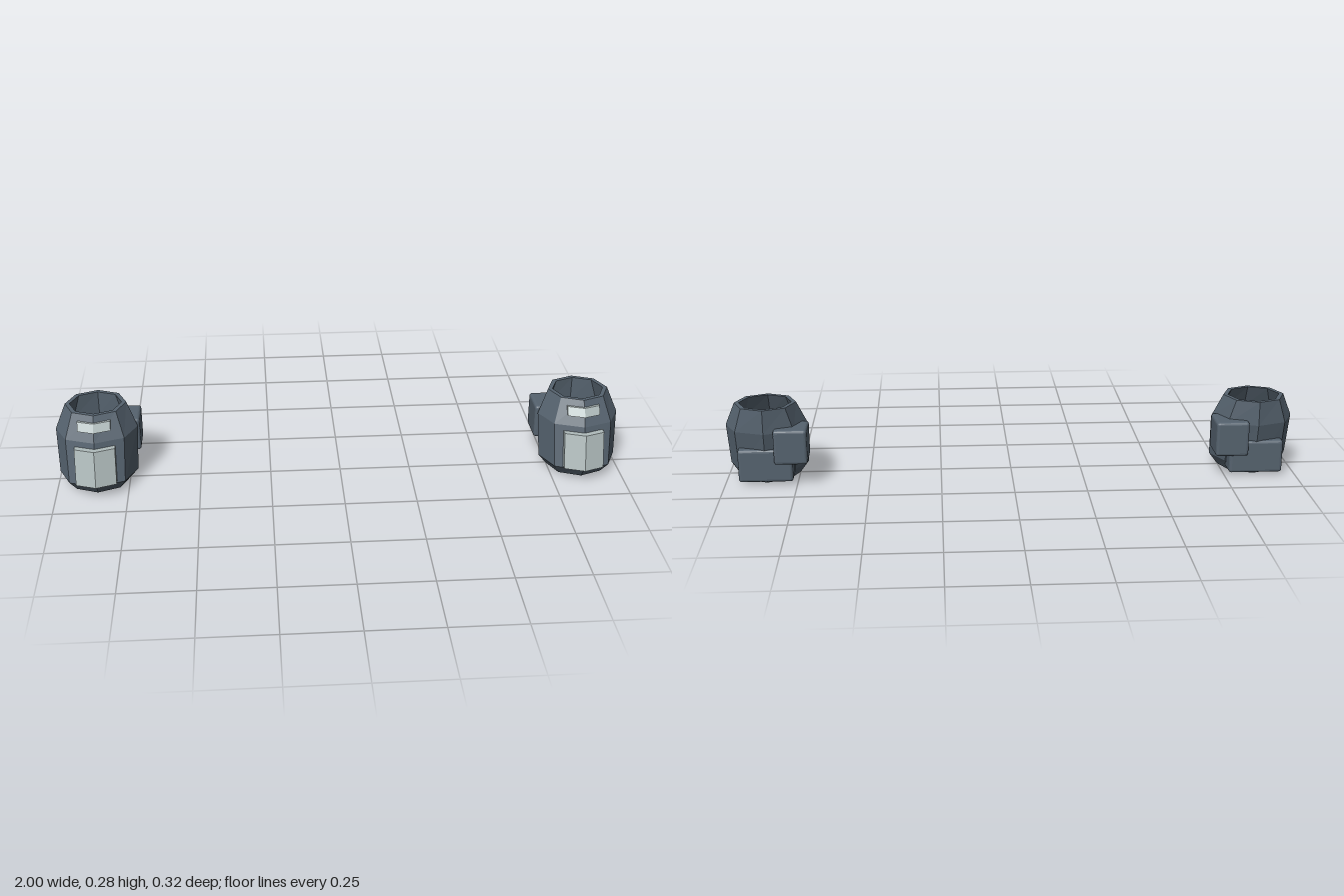
import * as THREE from 'three';
import { RoundedBoxGeometry } from 'three/addons/geometries/RoundedBoxGeometry.js';

const SIDES = 8;
const POD_X = 0.857;

const shellMat = new THREE.MeshStandardMaterial({ color: 0x56636f, flatShading: true });
const panelMat = new THREE.MeshStandardMaterial({ color: 0xb0bcbc, flatShading: true });

function mesh(name, geometry, material) {
  const m = new THREE.Mesh(geometry, material);
  m.name = name;
  return m;
}

// Joins octagonal rings [y, centreZ, radiusX, radiusZ] into one faceted skin
function loft(rings) {
  const point = ([y, cz, rx, rz], j) => {
    const a = (j / SIDES) * Math.PI * 2;
    return [rx * Math.sin(a), y, cz + rz * Math.cos(a)];
  };
  const pos = [];
  for (let i = 0; i < rings.length - 1; i++) {
    const lo = rings[i], hi = rings[i + 1];
    for (let j = 0; j < SIDES; j++) {
      const a = point(lo, j), b = point(lo, j + 1), c = point(hi, j + 1), d = point(hi, j);
      if (lo[2] > 0) pos.push(...a, ...b, ...c);
      if (hi[2] > 0) pos.push(...a, ...c, ...d);
      if (lo[2] === 0) pos.push(...b.map((v, k) => (k === 1 ? lo[0] : a[k])).map((v, k) => v));
      if (lo[2] === 0) pos.splice(-3, 3);
    }
  }
  const g = new THREE.BufferGeometry();
  g.setAttribute('position', new THREE.Float32BufferAttribute(pos, 3));
  g.computeVertexNormals();
  return g;
}

// V-shaped slab on the front ridge, leaning back as it rises
function chevron(halfWidth, drop, thick, y0, y1, z0, z1) {
  const s = new THREE.Shape();
  s.moveTo(0, 0);
  s.lineTo(halfWidth, drop);
  s.lineTo(halfWidth, drop + thick);
  s.lineTo(0, thick);
  s.lineTo(-halfWidth, drop + thick);
  s.lineTo(-halfWidth, drop);
  s.closePath();
  const g = new THREE.ExtrudeGeometry(s, { depth: y1 - y0, bevelEnabled: false });
  g.rotateX(-Math.PI / 2);
  const p = g.attributes.position;
  for (let i = 0; i < p.count; i++) {
    const y = p.getY(i);
    p.setZ(i, p.getZ(i) + z0 + (z1 - z0) * (y / (y1 - y0)));
    p.setY(i, y + y0);
  }
  g.computeVertexNormals();
  return g;
}

// Softly bevelled box between two corners
function block(name, min, max) {
  const size = max.map((v, k) => v - min[k]);
  const m = mesh(name, new RoundedBoxGeometry(...size, 2, 0.01), shellMat);
  m.position.set(...max.map((v, k) => (v + min[k]) / 2));
  return m;
}

function createPod(side) {
  const pod = new THREE.Group();
  pod.name = side > 0 ? 'leftPod' : 'rightPod';
  pod.position.x = side * POD_X;

  // Hollow shell: underside, outer wall, rim, inner wall, floor
  pod.add(mesh('shell', loft([
    [0, 0.003, 0, 0],
    [0, 0.003, 0.107, 0.107],
    [0.038, 0.012, 0.137, 0.128],
    [0.19, -0.022, 0.143, 0.127],
    [0.275, -0.043, 0.107, 0.104],
    [0.275, -0.043, 0.091, 0.088],
    [0.19, -0.022, 0.125, 0.11],
    [0.038, 0.012, 0.119, 0.11],
    [0.025, 0.01, 0.1, 0.095],
    [0.025, 0.01, 0, 0],
  ]), shellMat));

  // Light front plates
  pod.add(mesh('frontPanel', chevron(0.07, 0.026, 0.025, 0.045, 0.17, 0.162, 0.133), panelMat));
  pod.add(mesh('upperStrip', chevron(0.057, 0.02, 0.013, 0.225, 0.253, 0.099, 0.081), panelMat));

  // Rear boxes: a wide low one and a higher one towards the middle of the model
  pod.add(block('lowerRearBox', [-0.094, 0.013, -0.138], [0.094, 0.13, -0.057]));
  const x = [-side * 0.148, -side * 0.033].sort((a, b) => a - b);
  pod.add(block('upperRearBox', [x[0], 0.083, -0.161], [x[1], 0.206, -0.04]));
  return pod;
}

export function createModel() {
  const model = new THREE.Group();
  model.name = 'podPair';
  for (const side of [-1, 1]) model.add(createPod(side));
  return model;
}
